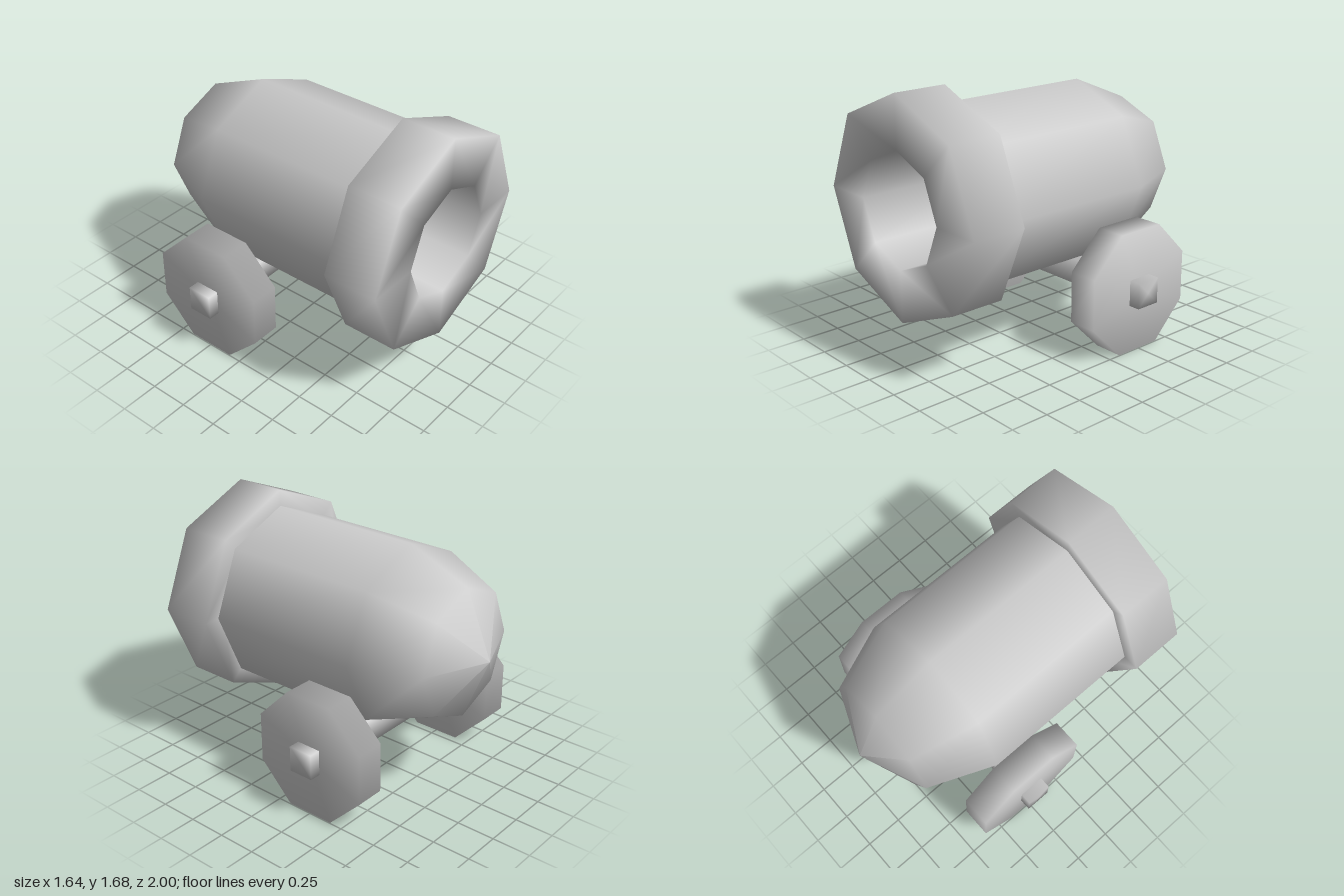
import * as THREE from 'three';

const material = new THREE.MeshStandardMaterial({ color: 0xcccccc });

// Smooth-shaded low-poly turned part; profile is [radius, height] from bottom to top
function turned(name, profile, sides, phase = 0) {
  const points = profile.map(([r, h]) => new THREE.Vector2(r, h));
  const mesh = new THREE.Mesh(new THREE.LatheGeometry(points, sides, phase), material);
  mesh.name = name;
  return mesh;
}

// Closed cylinder profile
const drum = (r, half) => [[0, -half], [r, -half], [r, half], [0, half]];

export function createModel() {
  const model = new THREE.Group();
  model.name = 'cannon';

  // Barrel with rounded breech, and muzzle ring with its bore, along +z
  const gun = new THREE.Group();
  gun.name = 'gun';
  gun.position.y = 0.985;
  gun.rotation.x = Math.PI / 2;
  gun.add(
    turned('barrel', [[0, -1], [0.417, -0.827], [0.59, -0.41], [0.59, 0.8]], 8),
    turned('muzzleRing', [[0.55, 0.645], [0.697, 0.645], [0.697, 1], [0.364, 1], [0.364, 0.1], [0, 0.1]], 8)
  );
  model.add(gun);

  // Square axle and octagonal wheels, along x
  const carriage = new THREE.Group();
  carriage.name = 'carriage';
  carriage.position.set(0, 0.391, -0.248);
  carriage.rotation.z = -Math.PI / 2;
  carriage.add(turned('axle', drum(0.117, 0.82), 4, Math.PI / 4));
  for (const side of [-1, 1]) {
    const wheel = turned(side > 0 ? 'leftWheel' : 'rightWheel', drum(0.423, 0.097), 8, Math.PI / 8);
    wheel.position.y = side * 0.649;
    carriage.add(wheel);
  }
  model.add(carriage);

  return model;
}
